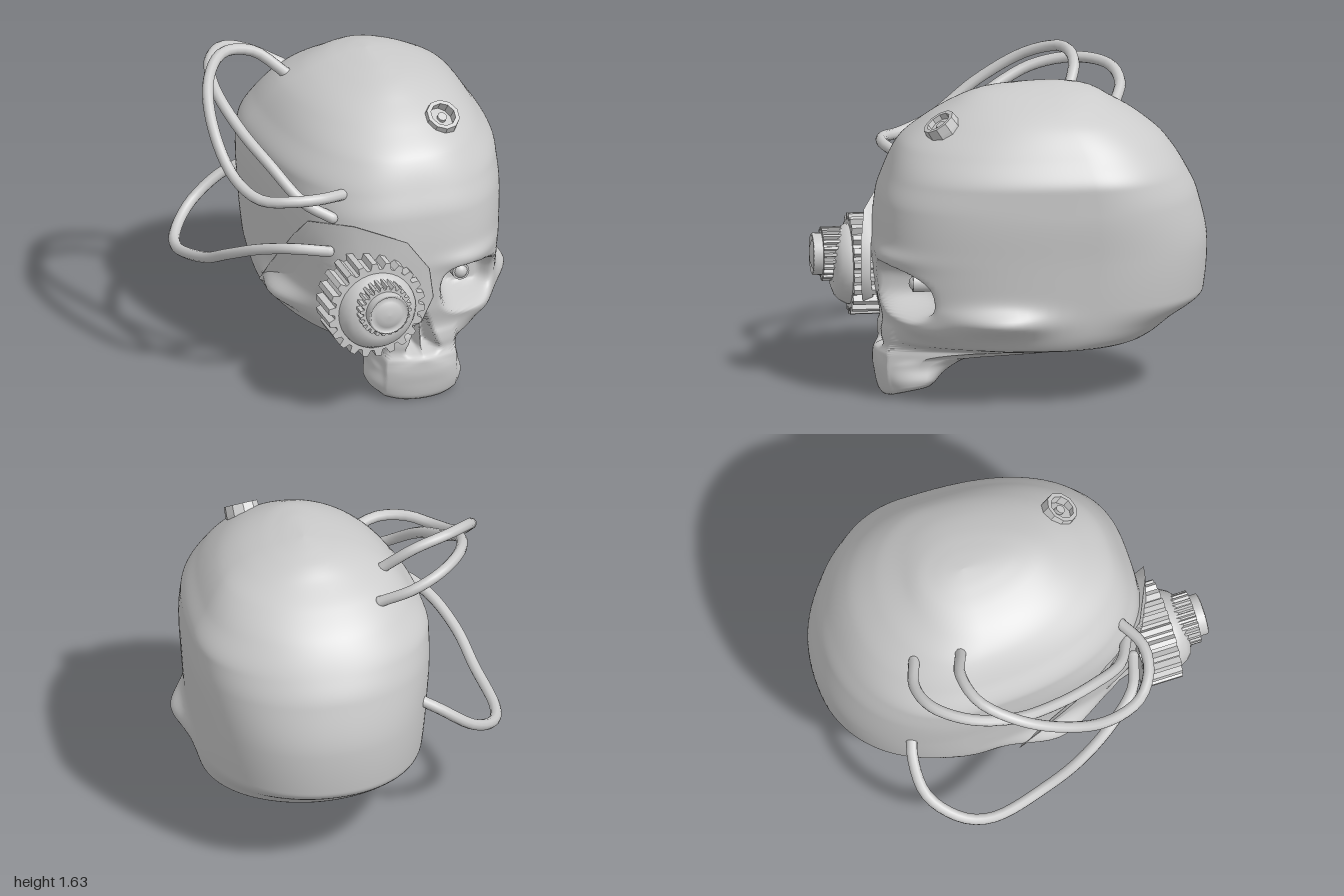
import * as THREE from 'three';

const CX = 0.185; // skull mid-plane
const grey = (opts = {}) => new THREE.MeshStandardMaterial({ color: 0xcccccc, ...opts });
const smooth = THREE.MathUtils.smoothstep;
const lerp = THREE.MathUtils.lerp;

function add(parent, name, geometry, opts) {
  const mesh = new THREE.Mesh(geometry, grey(opts));
  mesh.name = name;
  parent.add(mesh);
  return mesh;
}

// Skin closed rings of [x, y, z] points into one surface.
function loft(rings) {
  const n = rings[0].length, index = [];
  for (let r = 0; r < rings.length - 1; r++) {
    for (let i = 0; i < n; i++) {
      const a = r * n + i, b = r * n + (i + 1) % n;
      index.push(a, b, b + n, a, b + n, a + n);
    }
  }
  const g = new THREE.BufferGeometry();
  g.setAttribute('position', new THREE.Float32BufferAttribute(rings.flat(2), 3));
  g.setIndex(index);
  g.computeVertexNormals();
  return g;
}

// Skull sections: y, front z, back z, half width, z of widest point, squareness
const SECTIONS = [
  [0.005, 0.66, 0.41, 0.22, 0.50, 2.4], [0.03, 0.675, 0.39, 0.245, 0.49, 2.6],
  [0.10, 0.69, 0.37, 0.25, 0.48, 2.8], [0.17, 0.70, 0.27, 0.235, 0.46, 2.8],
  [0.21, 0.70, 0.15, 0.24, 0.38, 2.4], [0.23, 0.70, -0.33, 0.26, 0.10, 2.0],
  [0.25, 0.69, -0.56, 0.30, -0.10, 1.9], [0.28, 0.68, -0.64, 0.43, -0.18, 1.9],
  [0.31, 0.68, -0.70, 0.525, -0.22, 2.0], [0.40, 0.67, -0.82, 0.56, -0.28, 2.3],
  [0.52, 0.69, -0.98, 0.575, -0.33, 2.8], [0.76, 0.71, -1.00, 0.592, -0.36, 2.9],
  [1.02, 0.69, -0.95, 0.61, -0.36, 2.8], [1.15, 0.65, -0.89, 0.61, -0.34, 2.6],
  [1.30, 0.58, -0.79, 0.53, -0.30, 2.4], [1.42, 0.44, -0.65, 0.44, -0.25, 2.2],
  [1.50, 0.31, -0.52, 0.33, -0.20, 2.1], [1.56, 0.18, -0.42, 0.19, -0.20, 2.0],
  [1.59, 0.00, -0.30, 0.07, -0.20, 2.0],
];

// Sections blended by a curve that never overshoots
function sectionRows() {
  const rows = [], last = SECTIONS.length - 1;
  const slope = (k, m) => (SECTIONS[k + 1][m] - SECTIONS[k][m]) / (SECTIONS[k + 1][0] - SECTIONS[k][0]);
  const tangent = (k, m) => {
    const d0 = slope(Math.max(k - 1, 0), m), d1 = slope(Math.min(k, last - 1), m);
    return d0 * d1 > 0 ? (2 * d0 * d1) / (d0 + d1) : 0;
  };
  for (let k = 0; k < last; k++) {
    const a = SECTIONS[k], b = SECTIONS[k + 1], h = b[0] - a[0], steps = Math.ceil(h / 0.012);
    for (let j = 0; j < steps; j++) {
      const t = j / steps, e = t * t * (3 - 2 * t);
      rows.push(a.map((v, m) => lerp(v, b[m], e) +
        h * t * (1 - t) * ((1 - t) * tangent(k, m) - t * tangent(k + 1, m))));
    }
  }
  return [...rows, SECTIONS[last]];
}

// Point on a section; p runs from -1 (back) through 0 (front) to 1 (back)
function skullPoint([y, zf, zb, w, zc, n], p) {
  const t = Math.PI * Math.sign(p) * Math.abs(p) ** 1.5; // finer sampling across the face
  const c = Math.cos(t), s = Math.sin(t), power = 2 / (c > 0 ? n : Math.min(n, 2.1));
  let x = w * Math.sign(s) * Math.abs(s) ** power;
  let z = zc + ((c > 0 ? zf : zb) - zc) * Math.abs(c) ** power;
  const ax = Math.abs(x);
  if (c > 0) {
    // upper jaw standing forward below the cheeks
    const jaw = zf - 1.2 * ax * ax - 3 * Math.max(0, ax - 0.19) - 0.4 * smooth(y, 0.36, 0.52);
    z = (z + jaw + Math.hypot(z - jaw, 0.02)) / 2;
    // eye sockets, drooping towards the temples
    const ex = (ax - 0.285) / 0.2, ey = (y - 0.583 + 0.12 * (ax - 0.28)) / 0.148;
    const socket = 1 - smooth((Math.abs(ex) ** 2.6 + Math.abs(ey) ** 2.6) ** (1 / 2.6), 0.5, 1.02);
    z = lerp(z, Math.min(z, 0.4), socket);
    // brow ridge
    z += 0.025 * Math.exp(-(((y - 0.765) / 0.045) ** 2) - ((ax - 0.28) / 0.18) ** 2);
    // nose opening with its thin septum
    const half = 0.105 * (0.51 - y) / 0.26;
    if (half > 0) {
      const side = 1 - smooth(ax / half, 0.5, 1.05);
      z -= 0.13 * side * smooth(y, 0.25, 0.29) * (1 - 0.6 * Math.exp(-((ax / 0.014) ** 2)));
    }
    // fronts of the cheeks
    z += 0.07 * Math.exp(-(((ax - 0.43) / 0.12) ** 2) - ((y - 0.4) / 0.06) ** 2) * smooth(z, 0, 0.4);
  }
  // cheekbone arches
  const arch = Math.exp(-(((z - 0.13) / 0.22) ** 2) - ((y - 0.455) / 0.068) ** 2);
  x += Math.sign(x) * 0.085 * arch * smooth(ax, 0.3, 0.5);
  // tooth line rising to the back and sides
  const low = 1 - smooth(y, 0, 0.12);
  return [x + CX, y + low * (0.2 * Math.max(0, 0.66 - z) + 0.4 * x * x), z];
}

function skullGeometry() {
  const count = 160;
  const rings = sectionRows().map(row =>
    Array.from({ length: count }, (_, i) => skullPoint(row, (2 * i) / count - 1)));
  // hollow palate inside the tooth line
  const palate = [[1, 0.17], [0.7, 0.165], [0.4, 0.13], [0.18, 0.06]].map(([f, y]) =>
    rings[0].map(p => [lerp(p[0], CX, f), Math.max(p[1], y), lerp(p[2], 0.5, f)]));
  return loft([...palate, ...rings, rings[0].map(() => [CX, 1.597, -0.2])]);
}

// Bent plate over the right eye, swept back along the temple
function plateGeometry() {
  const outline = [[-0.2, 0.42], [0, 0.4], [0.15, 0.48], [0.21, 0.62], [0.19, 0.78], [0.08, 0.93],
    [-0.17, 1.01], [-0.34, 0.97], [-0.38, 0.85], [-0.4, 0.7], [-0.415, 0.56], [-0.425, 0.43]];
  const ring = (s, dz) => outline.map(([px, py]) => {
    const x = lerp(-0.1, px, s), y = lerp(0.7, py, s), d = 0.2 - x;
    const sweep = 0.65 * Math.max(0, 0.9 - y) * smooth(d, 0.42, 0.625);
    return [x, y, 0.775 - 0.25 * Math.max(d, 0) - 2.7 * d ** 4 - sweep + dz];
  });
  return loft([ring(0.93, -0.05), ring(1, 0), ...[0.99, 0.9, 0.8, 0.7, 0.6, 0.4, 0.2, 0].map(s => ring(s, 0))]);
}

function gearGeometry(teeth, root, tip, depth) {
  const shape = new THREE.Shape();
  for (let i = 0; i < teeth; i++) {
    [[0, root], [0.28, root], [0.45, tip], [0.83, tip]].forEach(([f, r], k) => {
      const a = ((i + f) / teeth) * Math.PI * 2;
      const method = i + k === 0 ? 'moveTo' : 'lineTo';
      shape[method](r * Math.cos(a), r * Math.sin(a));
    });
  }
  return new THREE.ExtrudeGeometry(shape, { depth, bevelEnabled: false });
}

// Lathe turned to point along +z; profile is [radius, z]
const turned = (profile, sides) =>
  new THREE.LatheGeometry(profile.map(p => new THREE.Vector2(...p)), sides).rotateX(Math.PI / 2);

const CABLES = [
  [[-0.13, 1.40, -0.32], [-0.2, 1.45, -0.34], [-0.35, 1.57, -0.39], [-0.53, 1.61, -0.35], [-0.67, 1.55, -0.18],
    [-0.73, 1.4, 0.06], [-0.7, 1.22, 0.3], [-0.62, 1.16, 0.48], [-0.5, 1.17, 0.57], [-0.35, 1.17, 0.59], [-0.17, 1.14, 0.51]],
  [[-0.14, 1.39, -0.57], [-0.3, 1.47, -0.62], [-0.45, 1.53, -0.58], [-0.58, 1.54, -0.42], [-0.63, 1.49, -0.2],
    [-0.58, 1.36, 0.05], [-0.5, 1.25, 0.27], [-0.38, 1.1, 0.46], [-0.25, 1.025, 0.53]],
  [[-0.27, 0.85, -0.62], [-0.42, 0.78, -0.67], [-0.6, 0.65, -0.65], [-0.74, 0.56, -0.5], [-0.78, 0.55, -0.35],
    [-0.73, 0.62, -0.05], [-0.68, 0.72, 0.15], [-0.58, 0.82, 0.35], [-0.45, 0.87, 0.5], [-0.28, 0.855, 0.56]],
];

export function createModel() {
  const model = new THREE.Group();
  model.name = 'cyborgSkull';

  add(model, 'skull', skullGeometry());
  add(model, 'eyePlate', plateGeometry(), { side: THREE.DoubleSide });

  // Geared lens over the right eye
  const lens = new THREE.Group();
  lens.name = 'gearedLens';
  lens.position.x = -0.105;
  model.add(lens);
  add(lens, 'largeGear', gearGeometry(22, 0.227, 0.26, 0.2)).position.set(0, 0.605, 0.6);
  add(lens, 'lensHousing', turned([[0.208, 0.78], [0.205, 0.815], [0.185, 0.85], [0.16, 0.875], [0.12, 0.89], [0, 0.895]], 32),
    { side: THREE.DoubleSide }).position.y = 0.605;
  add(lens, 'smallGear', gearGeometry(24, 0.12, 0.138, 0.12)).position.set(0, 0.66, 0.82);
  add(lens, 'lensBarrel', turned([[0.108, 0.9], [0.108, 0.985], [0.098, 0.99], [0.09, 0.975], [0.07, 0.987], [0.04, 0.997], [0, 1]], 28),
    { side: THREE.DoubleSide }).position.y = 0.66;

  // Small mechanical eye deep in the left socket
  const eye = new THREE.Group();
  eye.name = 'leftEye';
  eye.position.set(0.44, 0.62, 0.44);
  model.add(eye);
  add(eye, 'eyeStalk', new THREE.CylinderGeometry(0.045, 0.045, 0.2, 20).rotateX(Math.PI / 2));
  add(eye, 'eyeBall', new THREE.SphereGeometry(0.04, 20, 12)).position.z = 0.08;

  // Open socket ring on the forehead
  const port = new THREE.Group();
  port.name = 'headPort';
  port.position.set(0.385, 1.395, 0.365);
  port.quaternion.setFromUnitVectors(new THREE.Vector3(0, 1, 0), new THREE.Vector3(0.12, 0.82, 0.55).normalize());
  model.add(port);
  const wall = [[0.066, -0.06], [0.066, 0.068], [0.088, 0.068], [0.092, 0.02], [0.09, -0.06]];
  add(port, 'portRing', new THREE.LatheGeometry(wall.map(p => new THREE.Vector2(...p)), 10),
    { side: THREE.DoubleSide, flatShading: true });
  add(port, 'portPin', new THREE.CylinderGeometry(0.025, 0.025, 0.08, 10)).position.y = 0.01;

  // Cables looping from the back of the head to the face
  CABLES.forEach((points, i) => {
    const curve = new THREE.CatmullRomCurve3(points.map(p => new THREE.Vector3(...p)));
    add(model, 'cable' + (i + 1), new THREE.TubeGeometry(curve, 40, 0.029, 10));
    [points[0], points.at(-1)].forEach(p =>
      add(model, 'cableEnd', new THREE.SphereGeometry(0.029, 10, 8)).position.set(...p));
  });

  return model;
}
